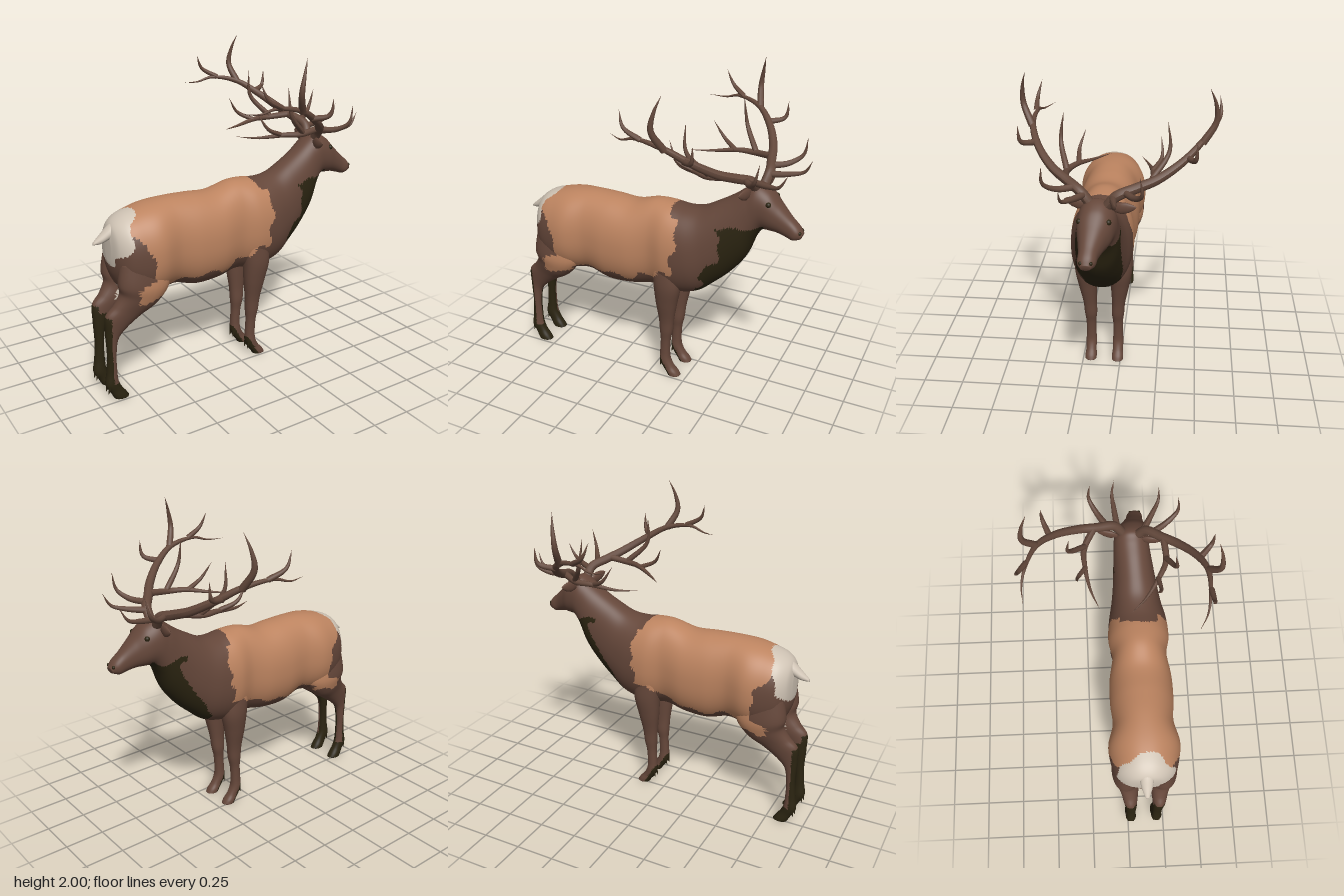
import * as THREE from 'three';

const ZC = 0.11; // centre plane of the trunk
const paint = (name, color) => Object.assign(new THREE.MeshStandardMaterial({ color }), { name });

export function createModel() {
  const model = new THREE.Group();
  model.name = 'stag';
  const brown = paint('brown coat', 0x65473a);
  const tan = paint('tan saddle', 0xbd8460);
  const dark = paint('dark mane', 0x2b2411);
  const pale = paint('pale rump', 0xcfc3b4);
  const horn = paint('antler', 0x63483b);
  const coat = [brown, tan, dark, pale];
  const BROWN = 0, TAN = 1, DARK = 2, PALE = 3;

  const add = (name, geometry, material, parent = model) => {
    const mesh = new THREE.Mesh(geometry, material);
    mesh.name = name;
    parent.add(mesh);
    return mesh;
  };

  // Skin over oval sections: each station is [ax, ay, bx, by, halfWidth, zCentre];
  // rule(x, y, z) picks the coat colour of every face.
  function loft(stations, rows, cols, power, rule) {
    const curve = (f) => new THREE.CatmullRomCurve3(stations.map(f));
    const ca = curve((s) => new THREE.Vector3(s[0], s[1], 0));
    const cb = curve((s) => new THREE.Vector3(s[2], s[3], 0));
    const cw = curve((s, i) => new THREE.Vector3(s[4], s[5], i * 0.1));
    const pos = [], lists = [[], [], [], []];
    const bend = (v) => Math.sign(v) * Math.abs(v) ** (2 / power);
    for (let i = 0; i <= rows; i++) {
      const a = ca.getPoint(i / rows), b = cb.getPoint(i / rows), w = cw.getPoint(i / rows);
      for (let j = 0; j < cols; j++) {
        const p = (j / cols) * Math.PI * 2;
        const k = (1 - bend(Math.cos(p))) / 2;
        pos.push(a.x + (b.x - a.x) * k, a.y + (b.y - a.y) * k, w.y + bend(Math.sin(p)) * w.x);
      }
      if (i === 0 || i === rows) stations[i ? 'end' : 'start'] = [(a.x + b.x) / 2, (a.y + b.y) / 2, w.y];
    }
    const c0 = pos.length / 3;
    pos.push(...stations.start, ...stations.end);
    const tri = (...t) => {
      const mid = [0, 1, 2].map((k) => (pos[t[0] * 3 + k] + pos[t[1] * 3 + k] + pos[t[2] * 3 + k]) / 3);
      lists[rule(...mid)].push(...t);
    };
    for (let j = 0; j < cols; j++) {
      const n = (j + 1) % cols;
      for (let i = 0; i < rows; i++) {
        const r = i * cols, q = r + cols;
        tri(r + j, r + n, q + j);
        tri(r + n, q + n, q + j);
      }
      tri(n, j, c0);
      tri(rows * cols + j, rows * cols + n, c0 + 1);
    }
    const g = new THREE.BufferGeometry();
    g.setAttribute('position', new THREE.Float32BufferAttribute(pos, 3));
    g.setIndex(lists.flat());
    let start = 0;
    lists.forEach((l, m) => { if (l.length) g.addGroup(start, l.length, m); start += l.length; });
    g.computeVertexNormals();
    return g;
  }

  // Coat pattern with ragged borders
  function coatRule(x, y, z) {
    const n = 0.014 * Math.sin(x * 31 + y * 17) + 0.012 * Math.sin(y * 43 - x * 13 + z * 9);
    const dz = Math.abs(z - ZC);
    if (x + n < -0.70 - 0.45 * (1.15 - y) && y > 0.68) return PALE;
    if (x < -0.6 && y < 0.7 && dz < 0.04) return PALE;
    if (x > 0.3 && x < 0.71 && y + n < 1.155 && dz < 0.145) {
      const edge = y < 0.8 ? 0.33 : Math.min(0.47, 0.33 + (y - 0.8) * 0.75);
      if (x + n * 1.5 > edge) return DARK;
    }
    const front = y > 1.15 ? 0.13 : 0.19;
    const low = 0.69 + 0.09 * THREE.MathUtils.clamp((x + 0.15) / 0.25, 0, 1);
    const back = y < 0.93 ? -0.64 : -0.64 - (y - 0.93) * 0.9;
    if (x + n < front && x + n > back && y + n > low) return TAN;
    if (x > -0.74 && x < -0.55 && y + n > 0.635 && y + n < 0.73 && dz > 0.14) return TAN;
    return BROWN;
  }

  // Trunk, neck and head: top point, bottom point, half width, z centre
  add('bodyNeckAndHead', loft([
    [-0.845, 1.02, -0.845, 0.86, 0.04, ZC], [-0.825, 1.08, -0.83, 0.77, 0.12, ZC],
    [-0.77, 1.125, -0.78, 0.67, 0.185, ZC], [-0.68, 1.155, -0.68, 0.61, 0.215, ZC],
    [-0.58, 1.175, -0.58, 0.62, 0.225, ZC], [-0.45, 1.185, -0.45, 0.635, 0.192, ZC],
    [-0.3, 1.18, -0.3, 0.595, 0.203, ZC], [-0.15, 1.172, -0.15, 0.6, 0.2, ZC],
    [0, 1.21, 0, 0.625, 0.175, ZC], [0.1, 1.208, 0.14, 0.61, 0.197, ZC],
    [0.2, 1.197, 0.3, 0.645, 0.188, ZC], [0.3, 1.21, 0.41, 0.73, 0.162, 0.105],
    [0.4, 1.26, 0.51, 0.825, 0.142, 0.1], [0.5, 1.32, 0.595, 0.94, 0.128, 0.093],
    [0.58, 1.38, 0.65, 1.08, 0.116, 0.086], [0.64, 1.42, 0.69, 1.135, 0.11, 0.085],
    [0.72, 1.39, 0.745, 1.14, 0.098, 0.092], [0.79, 1.32, 0.79, 1.138, 0.076, 0.102],
    [0.86, 1.25, 0.84, 1.125, 0.056, 0.112], [0.915, 1.2, 0.88, 1.115, 0.05, 0.118],
    [0.938, 1.165, 0.925, 1.13, 0.028, 0.12],
  ], 180, 80, 2.2, coatRule), coat);

  // Tail
  add('tail', loft([
    [-0.76, 1.0, -0.74, 1.115, 0.06, ZC], [-0.83, 0.995, -0.82, 1.085, 0.045, ZC],
    [-0.89, 0.975, -0.88, 1.035, 0.03, ZC], [-0.935, 0.975, -0.93, 0.992, 0.01, ZC],
  ], 16, 20, 2, () => PALE), coat);

  // Legs: front edge, back edge, half width, distance from the centre plane
  const foreLeg = [
    [0.2, 0.82, 0.02, 0.82, 0.07, 0.11], [0.21, 0.68, 0.035, 0.68, 0.073, 0.112],
    [0.185, 0.55, 0.045, 0.55, 0.06, 0.105], [0.16, 0.42, 0.06, 0.42, 0.044, 0.095],
    [0.15, 0.33, 0.065, 0.33, 0.041, 0.09], [0.135, 0.26, 0.07, 0.26, 0.033, 0.09],
    [0.13, 0.16, 0.065, 0.16, 0.032, 0.09], [0.135, 0.11, 0.065, 0.1, 0.036, 0.09],
    [0.16, 0.06, 0.09, 0.045, 0.034, 0.09], [0.19, 0.025, 0.11, 0.02, 0.038, 0.09],
    [0.205, 0, 0.12, 0, 0.038, 0.09],
  ];
  const hindLeg = [
    [-0.52, 0.86, -0.82, 0.88, 0.08, 0.115], [-0.52, 0.7, -0.84, 0.74, 0.092, 0.12],
    [-0.6, 0.59, -0.83, 0.68, 0.08, 0.112], [-0.7, 0.525, -0.87, 0.61, 0.06, 0.1],
    [-0.79, 0.46, -0.92, 0.555, 0.045, 0.095], [-0.845, 0.4, -0.925, 0.45, 0.036, 0.09],
    [-0.865, 0.3, -0.92, 0.3, 0.031, 0.09], [-0.865, 0.18, -0.93, 0.18, 0.031, 0.09],
    [-0.86, 0.12, -0.94, 0.1, 0.036, 0.09], [-0.84, 0.07, -0.915, 0.05, 0.034, 0.09],
    [-0.81, 0.025, -0.9, 0.02, 0.038, 0.09], [-0.795, 0, -0.89, 0, 0.038, 0.09],
  ];
  const foreRule = (x, y, z) => (y < 0.14 && x < 0.07 + (0.14 - y) * 0.55 ? DARK : coatRule(x, y, z));

  // Antler paths in head space: forward, height, outward
  const antler = {
    beam: [0.03, [0, 1.39, 0.05], [0, 1.45, 0.1], [-0.05, 1.49, 0.2], [-0.1, 1.53, 0.3], [-0.2, 1.61, 0.42],
      [-0.33, 1.69, 0.5], [-0.5, 1.72, 0.53], [-0.6, 1.695, 0.53], [-0.7, 1.7, 0.5]],
    royalTine: [0.022, [-0.32, 1.68, 0.5], [-0.36, 1.8, 0.565], [-0.345, 1.9, 0.56], [-0.315, 1.995, 0.53]],
    rearFork: [0.017, [-0.46, 1.72, 0.53], [-0.56, 1.78, 0.555], [-0.6, 1.87, 0.54]],
    outerTine: [0.019, [-0.23, 1.62, 0.44], [-0.14, 1.65, 0.5], [-0.125, 1.75, 0.51]],
    lowBranch: [0.021, [-0.05, 1.5, 0.21], [-0.2, 1.48, 0.25], [-0.3, 1.48, 0.23], [-0.45, 1.46, 0.17], [-0.565, 1.46, 0.095]],
    middleTine: [0.018, [-0.19, 1.49, 0.25], [-0.3, 1.62, 0.32], [-0.32, 1.79, 0.305]],
    lowFork: [0.015, [-0.32, 1.48, 0.22], [-0.42, 1.53, 0.25], [-0.487, 1.63, 0.23]],
    browTine: [0.02, [0, 1.44, 0.08], [0.12, 1.455, 0.12], [0.2, 1.48, 0.145], [0.25, 1.56, 0.14]],
    secondTine: [0.02, [-0.02, 1.47, 0.14], [0.06, 1.48, 0.22], [0.12, 1.53, 0.275], [0.145, 1.64, 0.27]],
  };
  // Tube that thins out to a point
  function taperTube(r, points) {
    const path = new THREE.CatmullRomCurve3(points);
    const n = points.length * 8, g = new THREE.TubeGeometry(path, n, r, 10);
    const p = g.attributes.position, v = new THREE.Vector3();
    for (let k = 0; k < p.count; k++) {
      const t = Math.floor(k / 11) / n;
      v.fromBufferAttribute(p, k).lerp(path.getPointAt(t), 1 - Math.max(0.03, 1 - t ** 1.8));
      p.setXYZ(k, v.x, v.y, v.z);
    }
    g.computeVertexNormals();
    return g;
  }

  // Head pieces share the slight turn of the head
  const head = new THREE.Group();
  head.name = 'headDetails';
  head.position.set(0.65, 0, 0.075);
  head.rotation.y = -0.2;
  model.add(head);
  const earProfile = [[0, 0], [0.02, 0.01], [0.036, 0.05], [0.03, 0.09], [0.014, 0.125], [0, 0.14]];

  for (const [side, s] of [['left', 1], ['right', -1]]) {
    const place = (st) => st.map((q) => [...q.slice(0, 5), ZC + s * q[5]]);
    const hindRule = (x, y, z) => {
      const inner = (z - ZC) * s < 0.088;
      if (y < 0.11 || (y < 0.55 && (x < -0.897 || (inner && y < 0.5)))) return DARK;
      return coatRule(x, y, z);
    };
    add(side + 'ForeLeg', loft(place(foreLeg), 90, 28, 2.2, foreRule), coat);
    add(side + 'HindLeg', loft(place(hindLeg), 90, 28, 2.2, hindRule), coat);
    // Dewclaws
    for (const [x, y] of [[0.075, 0.075], [-0.925, 0.07]]) {
      for (const d of [-0.018, 0.018]) {
        const claw = add('dewclaw', new THREE.ConeGeometry(0.014, 0.05, 8), dark);
        claw.position.set(x, y, ZC + s * 0.09 + d);
        claw.rotation.z = Math.PI - 0.35;
      }
    }
    // Antlers
    const rack = new THREE.Group();
    rack.name = side + 'Antler';
    head.add(rack);
    for (const [name, [r, ...pts]] of Object.entries(antler)) {
      add(name, taperTube(r, pts.map(([x, y, z]) => new THREE.Vector3(x, y, z * s))), horn, rack);
    }
    // Ears
    const ear = add(side + 'Ear', new THREE.LatheGeometry(earProfile.map((q) => new THREE.Vector2(...q)), 20), brown, head);
    ear.scale.set(0.45, 1, 1);
    ear.position.set(-0.02, 1.365, s * 0.07);
    ear.rotation.set(s * 1.4, 0, 0);
    // Eyes and nostrils
    add(side + 'Eye', new THREE.SphereGeometry(0.016, 16, 12), dark).position.set(0.735, 1.325, 0.094 + s * 0.08);
    const nostril = add(side + 'Nostril', new THREE.SphereGeometry(0.011, 12, 8), dark);
    nostril.position.set(0.921, 1.172, 0.119 + s * 0.028);
  }
  return model;
}
